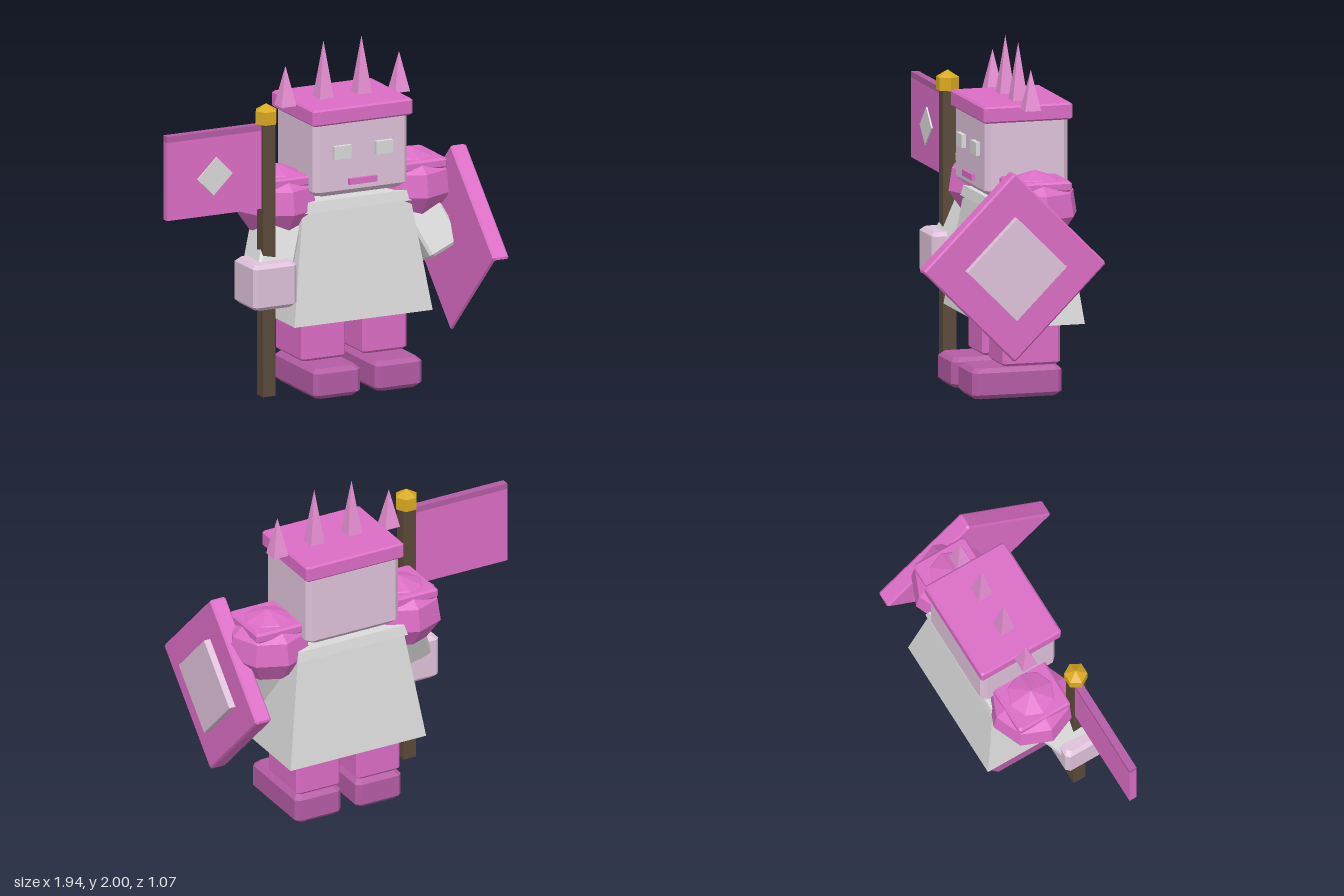
import * as THREE from 'three';

const mat = (name, color) => {
  const m = new THREE.MeshStandardMaterial({ color });
  m.name = name;
  m.flatShading = true;
  return m;
};

// Box with chamfered edges, built from octagonal rings; the underside may be left open
function chamferBox(w, h, d, b, openBottom = false) {
  const ring = (y, s) => {
    const x = w / 2 - s, z = d / 2 - s, c = b;
    return [[x, z - c], [x, -z + c], [x - c, -z], [-x + c, -z],
      [-x, -z + c], [-x, z - c], [-x + c, z], [x - c, z]].map(p => [p[0], y, p[1]]);
  };
  const rings = [ring(-h / 2, b), ring(-h / 2 + b, 0), ring(h / 2 - b, 0), ring(h / 2, b)];
  const pos = [], tri = (...v) => v.forEach(p => pos.push(...p));
  for (let r = 0; r < 3; r++) {
    for (let i = 0; i < 8; i++) {
      const j = (i + 1) % 8, A = rings[r], B = rings[r + 1];
      tri(A[i], A[j], B[j], A[i], B[j], B[i]);
    }
  }
  for (let i = 1; i < 7; i++) {
    tri(rings[3][0], rings[3][i], rings[3][i + 1]);
    if (!openBottom) tri(rings[0][0], rings[0][i + 1], rings[0][i]);
  }
  const g = new THREE.BufferGeometry();
  g.setAttribute('position', new THREE.Float32BufferAttribute(pos, 3));
  g.computeVertexNormals();
  return g;
}

// Box whose top is narrowed to the given fractions
function taperBox(w, h, d, tx, tz) {
  const g = new THREE.BoxGeometry(w, h, d), p = g.attributes.position;
  for (let i = 0; i < p.count; i++) {
    if (p.getY(i) > 0) p.setXYZ(i, p.getX(i) * tx, p.getY(i), p.getZ(i) * tz);
  }
  g.computeVertexNormals();
  return g;
}

export function createModel() {
  const model = new THREE.Group();
  const pink = mat('pink', 0xdb6dc5), darkPink = mat('dark pink', 0xb45ca4), lightPink = mat('light pink', 0xe68fd2);
  const pale = mat('pale mauve', 0xdec2da), grey = mat('light grey', 0xdadada);
  const gold = mat('gold', 0xd9a920), wood = mat('dark wood', 0x5a4a39);
  const add = (name, geo, m, x, y, z) => {
    const mesh = new THREE.Mesh(geo, m);
    mesh.name = name;
    mesh.position.set(x, y, z);
    model.add(mesh);
    return mesh;
  };
  const CX = 0.244, CZ = -0.2;

  // Robe and overhanging collar
  add('robe', taperBox(0.872, 0.635, 0.56, 0.785, 0.69), grey, CX, 0.7425, -0.21);
  add('collar', taperBox(0.71, 0.06, 0.43, 0.955, 0.94), grey, CX, 1.09, -0.21);

  // Head, face and crown
  add('head', chamferBox(0.595, 0.46, 0.49, 0.03), pale, CX, 1.385, -0.195);
  add('crownBand', chamferBox(0.63, 0.095, 0.525, 0.01), pink, CX, 1.6225, -0.195);
  add('mouth', new THREE.BoxGeometry(0.175, 0.035, 0.03), pink, CX, 1.2325, 0.055);
  for (const s of [-1, 1]) {
    add('eye', new THREE.BoxGeometry(0.107, 0.076, 0.03), grey, CX + s * 0.132, 1.411, 0.06);
  }
  [[-0.115, 0.23], [0.125, 0.35], [0.365, 0.35], [0.602, 0.23]].forEach(([x, h]) => {
    const spike = new THREE.ConeGeometry(0.066, h, 4);
    spike.rotateY(Math.PI / 4);
    add('crownSpike', spike, lightPink, x, 1.65 + h / 2, -0.195);
  });

  // Legs, feet and shoulders, mirrored about the body
  const ball = new THREE.LatheGeometry([[0, 0.94], [0.16, 0.95], [0.245, 1.07], [0.225, 1.2], [0.13, 1.275], [0, 1.32]]
    .map(p => new THREE.Vector2(...p)), 8);
  for (const s of [-1, 1]) {
    add('leg', chamferBox(0.28, 0.41, 0.34, 0.015), pink, CX + s * 0.193, 0.39, -0.21);
    add('foot', chamferBox(0.295, 0.175, 0.53, 0.025), darkPink, CX + s * 0.194, 0.0925, -0.125);
    const x = CX + s * 0.422;
    add('shoulder', ball, pink, x, 0, CZ);
    add('shoulderPlate', chamferBox(0.325, 0.06, 0.34, 0.012), pink, x, 1.24, CZ);
  }

  // Arms reaching forward and outward
  const arm = (name, from, to) => {
    const a = new THREE.Vector3(...from), b = new THREE.Vector3(...to);
    const mid = a.clone().add(b).multiplyScalar(0.5);
    const mesh = add(name, chamferBox(0.22, a.distanceTo(b), 0.22, 0.015), grey, mid.x, mid.y, mid.z);
    mesh.quaternion.setFromUnitVectors(new THREE.Vector3(0, 1, 0), a.sub(b).normalize());
  };
  arm('rightArm', [-0.15, 1.08, -0.2], [-0.32, 0.73, -0.03]);
  arm('leftArm', [0.635, 1.08, -0.2], [0.79, 0.725, -0.05]);
  add('rightHand', chamferBox(0.275, 0.265, 0.27, 0.022), pale, -0.3375, 0.695, -0.005);

  // Banner
  add('bannerPole', new THREE.BoxGeometry(0.078, 1.59, 0.078), wood, -0.336, 0.83, 0);
  const knob = new THREE.CylinderGeometry(0.066, 0.066, 0.075, 6);
  knob.rotateY(Math.PI / 2);
  add('poleKnob', knob, gold, -0.336, 1.6575, 0);
  const tip = new THREE.ConeGeometry(0.066, 0.04, 6);
  tip.rotateY(Math.PI / 2);
  add('poleTip', tip, gold, -0.336, 1.715, 0);
  add('bannerCloth', new THREE.BoxGeometry(0.6, 0.455, 0.045), pink, -0.67, 1.3555, -0.006);
  add('bannerHem', new THREE.BoxGeometry(0.6, 0.035, 0.045), darkPink, -0.67, 1.6005, -0.006);
  const emblem = add('bannerDiamond', new THREE.BoxGeometry(0.145, 0.168, 0.009), grey, -0.67, 1.355, 0.021);
  emblem.rotation.z = -0.8;

  // Diamond shield with raised centre
  const shield = add('shield', chamferBox(0.1, 0.765, 0.765, 0.01, true), pink, 0.877, 0.811, 0);
  shield.rotation.x = -Math.PI / 4;
  const panel = add('shieldPanel', chamferBox(0.05, 0.418, 0.418, 0.002, true), pale, 0.941, 0.808, 0);
  panel.rotation.x = -Math.PI / 4;

  return model;
}
